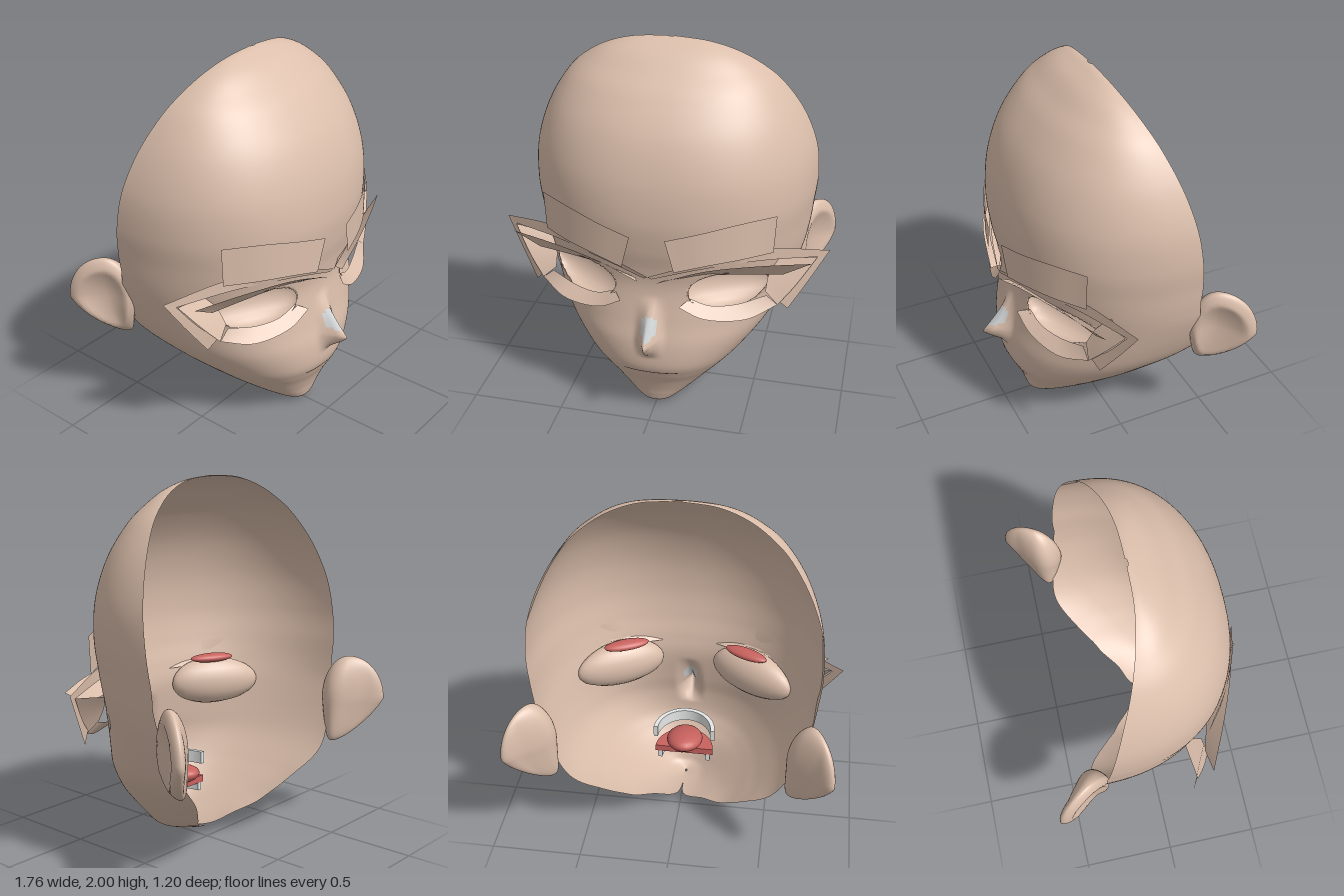
import * as THREE from 'three';

const mat = (name, color) => {
  const m = new THREE.MeshStandardMaterial({ color, side: THREE.DoubleSide });
  m.name = name;
  return m;
};
const V = (p) => new THREE.Vector3(...p);

// Grid of points -> indexed surface; pick(mid) chooses the material group of a cell
function gridGeometry(rows, cols, pointAt, pick = () => 0) {
  const pos = [], groups = [[], []];
  for (let i = 0; i <= rows; i++)
    for (let j = 0; j <= cols; j++) pos.push(...pointAt(i / rows, j / cols));
  for (let i = 0; i < rows; i++)
    for (let j = 0; j < cols; j++) {
      const a = i * (cols + 1) + j, c = a + cols + 1;
      const mid = [0, 1, 2].map((k) => (pos[a * 3 + k] + pos[(c + 1) * 3 + k]) / 2);
      groups[pick(mid)].push(a, c, a + 1, a + 1, c, c + 1);
    }
  const g = new THREE.BufferGeometry();
  g.setAttribute('position', new THREE.Float32BufferAttribute(pos, 3));
  g.setIndex([...groups[0], ...groups[1]]);
  g.addGroup(0, groups[0].length, 0);
  if (groups[1].length) g.addGroup(groups[0].length, groups[1].length, 1);
  g.computeVertexNormals();
  return g;
}

// Horizontal sections of the face, crown to chin:
// height, half width, front z, z of widest point, rim angle, depth behind widest point
const SECTIONS = [
  [2, 0.02, -0.03, -0.04, 90, 0], [1.985, 0.19, 0.01, -0.045, 90, 0],
  [1.94, 0.335, 0.095, -0.067, 90, 0], [1.87, 0.455, 0.175, -0.1, 90, 0],
  [1.77, 0.565, 0.275, -0.143, 90, 0], [1.6, 0.675, 0.387, -0.204, 90, 0],
  [1.4, 0.747, 0.455, -0.256, 90, 0], [1.2, 0.765, 0.475, -0.29, 90, 0],
  [1.03, 0.75, 0.46, -0.308, 90, 0], [0.9, 0.735, 0.435, -0.312, 90, 0.1],
  [0.78, 0.71, 0.425, -0.32, 92, 0.3], [0.6, 0.645, 0.45, -0.27, 98, 0.6],
  [0.47, 0.575, 0.475, -0.2, 106, 0.63], [0.34, 0.465, 0.475, -0.1, 115, 0.48],
  [0.26, 0.385, 0.445, -0.03, 117, 0.46], [0.19, 0.31, 0.408, 0.02, 121, 0.38],
  [0.12, 0.225, 0.38, 0.1, 140, 0.23], [0.07, 0.155, 0.365, 0.18, 172, 0.18],
  [0.03, 0.09, 0.348, 0.24, 180, 0.1], [0, 0.005, 0.3, 0.29, 180, 0.01],
];

function section(t) {
  const n = SECTIONS.length - 1, f = Math.min(t * n, n - 1e-6), i = Math.floor(f), u = f - i;
  const at = (k) => SECTIONS[Math.max(0, Math.min(n, k))];
  return SECTIONS[0].map((_, k) => {
    const p0 = at(i - 1)[k], p1 = at(i)[k], p2 = at(i + 1)[k], p3 = at(i + 2)[k];
    return p1 + 0.5 * u * (p2 - p0 + u * (2 * p0 - 5 * p1 + 4 * p2 - p3 + u * (3 * (p1 - p2) + p3 - p0)));
  });
}

// Height of the nose ridge above the face
const NOSE = [[0.74, 0], [0.63, 0.06], [0.57, 0.1], [0.515, 0.14], [0.48, 0.1], [0.43, 0.03], [0.4, 0]];
function noseRidge(y) {
  for (let i = 0; i < NOSE.length - 1; i++) {
    const [y0, h0] = NOSE[i], [y1, h1] = NOSE[i + 1];
    if (y <= y0 && y > y1) return h0 + ((h1 - h0) * (y0 - y)) / (y0 - y1);
  }
  return 0;
}

// Rolls the disc inside the eye opening into a rounded pocket wider than its mouth
const EYE = { x: 0.385, y: 0.785, rx: 0.19, ry: 0.112, swell: 1.2, depth: 0.1 };
function eyePocket([x, y, z]) {
  const side = Math.sign(x), lx = (Math.abs(x) - EYE.x) / EYE.rx, ly = (y - EYE.y) / EYE.ry;
  let r = Math.hypot(lx, ly);
  if (r > 1.05 || r < 1e-6) return r > 1 ? [x, y, z] : [x, y, z - 0.15];
  const r0 = r;
  if (r > 0.95) r = 1;
  const start = Math.asin(1 / EYE.swell), phi = start + (Math.PI - start) * (1 - r);
  const k = (EYE.swell * Math.sin(phi)) / r0, nx = EYE.x + lx * k * EYE.rx;
  const d = EYE.depth * (Math.cos(start) - Math.cos(phi));
  return [side * (nx - 0.2 * d), EYE.y + ly * k * EYE.ry, z - d - 0.5 * (nx - Math.abs(x))];
}

function facePoint(t, s) {
  const [y, w, zf, zc, rim, back] = section(t);
  const a = ((s * 2 - 1) * rim * Math.PI) / 180, c = Math.cos(a), sn = Math.sin(a);
  // behind the widest point
  if (c <= 0) return [w * sn, y, zc + c * back];
  // squarish front half
  const x = w * Math.sign(sn) * Math.abs(sn) ** 0.86;
  const z = zc + c ** 0.86 * (zf - zc) + noseRidge(y) * Math.max(0, 1 - Math.abs(x) / 0.085) ** 1.7;
  return eyePocket([x, y, z]);
}

// Smooth strip between two edges
function strip(edgeA, edgeB, side) {
  const flip = (p) => V([p[0] * side, p[1], p[2]]);
  const a = new THREE.CatmullRomCurve3(edgeA.map(flip)), b = new THREE.CatmullRomCurve3(edgeB.map(flip));
  return gridGeometry(1, 20, (u, v) => a.getPoint(v).lerp(b.getPoint(v), u).toArray());
}

function earGeometry(side) {
  const g = new THREE.SphereGeometry(1, 40, 32), p = g.attributes.position;
  for (let i = 0; i < p.count; i++) {
    let u = p.getX(i), v = p.getY(i), n = p.getZ(i);
    const r = Math.hypot(u, v), low = Math.max(0, -v);
    // hollow inside the rim on the outer face, thick root on the inner face
    if (n > 0) n = 0.055 * (n - 1.1 * Math.max(0, 1 - (r / 0.75) ** 2));
    else n *= 0.055 + 0.07 * Math.max(0, 0.5 - u);
    u = u * (u < 0 ? 0.15 : 0.2) * (1 - 0.4 * low) - 0.04 * low;
    p.setXYZ(i, side * (0.75 + u * 0.52 + n * 0.85 - 0.085 * low * low), 0.73 + v * 0.24, -0.42 - u * 0.85 + n * 0.52);
  }
  if (side < 0) {
    const ix = g.index;
    for (let i = 0; i < ix.count; i += 3) {
      const k = ix.getX(i);
      ix.setX(i, ix.getX(i + 1));
      ix.setX(i + 1, k);
    }
  }
  g.computeVertexNormals();
  return g;
}

// Horseshoe band for teeth and gums
function archGeometry(rx, rz, y0, y1, thick) {
  const s = new THREE.Shape();
  s.absellipse(0, 0, rx, rz, 0, Math.PI, false);
  s.absellipse(0, 0, rx - thick, rz - thick, Math.PI, 0, true);
  const g = new THREE.ExtrudeGeometry(s, { depth: y1 - y0, bevelEnabled: false, curveSegments: 24 });
  g.rotateX(Math.PI / 2); // shape y -> z, depth -> down
  g.translate(0, y1, 0.18);
  return g;
}

export function createModel() {
  const model = new THREE.Group();
  const skin = mat('skin', 0xdcbfac), white = mat('teeth white', 0xe6e8e8);
  const red = mat('mouth red', 0xc8625e), shine = mat('nose highlight', 0xd3d6d7);
  const dark = mat('mouth line', 0x4a322a);
  const add = (name, geo, material) => {
    const m = new THREE.Mesh(geo, material);
    m.name = name;
    model.add(m);
    return m;
  };

  // Open-backed face shell with a pale patch on the nose bridge
  const onNose = ([x, y, z]) => (z > 0.3 && Math.hypot(x / 0.048, (y - 0.6) / 0.055) < 1 ? 1 : 0);
  add('face', gridGeometry(190, 170, facePoint, onNose), [skin, shine]);

  for (const side of [1, -1]) {
    const label = side > 0 ? 'left' : 'right';
    add(label + 'Ear', earGeometry(side), skin);
    add(label + 'Brow', strip(
      [[0.09, 1.125, 0.505], [0.26, 1.165, 0.465], [0.44, 1.198, 0.385], [0.615, 1.205, 0.265]],
      [[0.135, 0.945, 0.495], [0.29, 0.98, 0.455], [0.45, 0.995, 0.38], [0.605, 0.995, 0.265]], side), skin);
    add(label + 'UpperLash', strip(
      [[0.05, 0.885, 0.52], [0.28, 0.955, 0.47], [0.54, 0.965, 0.37], [0.8, 0.945, 0.25]],
      [[0.07, 0.87, 0.46], [0.27, 0.875, 0.37], [0.5, 0.867, 0.29], [0.66, 0.86, 0.24]], side), skin);
    add(label + 'UpperLid', strip(
      [[0, 0.905, 0.5], [0.27, 0.99, 0.44], [0.57, 1.015, 0.27], [0.88, 0.965, 0.12]],
      [[0.02, 0.89, 0.49], [0.28, 0.945, 0.42], [0.55, 0.95, 0.28], [0.82, 0.935, 0.15]], side), skin);
    add(label + 'LashWing', strip(
      [[0.88, 0.965, 0.12], [0.79, 0.81, 0.17], [0.69, 0.65, 0.23]],
      [[0.82, 0.935, 0.15], [0.72, 0.79, 0.21], [0.64, 0.71, 0.26]], side), skin);
    add(label + 'LowerLid', strip(
      [[0.155, 0.72, 0.46], [0.28, 0.655, 0.44], [0.49, 0.64, 0.37], [0.64, 0.69, 0.27]],
      [[0.2, 0.745, 0.4], [0.3, 0.705, 0.38], [0.43, 0.7, 0.33], [0.58, 0.74, 0.27]], side), skin);
    add(label + 'OuterLid', strip(
      [[0.64, 0.69, 0.27], [0.72, 0.79, 0.23], [0.82, 0.935, 0.16]],
      [[0.57, 0.75, 0.25], [0.58, 0.83, 0.2], [0.63, 0.91, 0.14]], side), skin);
    // red tissue behind the top of each eye pocket
    const pad = add(label + 'EyePad', new THREE.SphereGeometry(1, 24, 16), red);
    pad.scale.set(0.13, 0.026, 0.045);
    pad.position.set(side * 0.34, 0.93, 0.26);
    pad.rotation.y = side * 0.45;
  }

  // Mouth line lying on the face, and the parts behind it
  add('mouthLine', gridGeometry(1, 40, (u, v) => {
    const [x, y, z] = facePoint((13.5 + (u - 0.5) * 0.08) / 19, 0.5 + (v - 0.5) * 0.146);
    return [x, y, z + 0.003];
  }), dark);
  add('upperTeeth', archGeometry(0.18, 0.2, 0.345, 0.415, 0.025), white);
  add('lowerTeeth', archGeometry(0.155, 0.17, 0.19, 0.235, 0.025), white);
  add('lowerGum', archGeometry(0.17, 0.18, 0.235, 0.275, 0.165), red);
  const tongue = add('tongue', new THREE.SphereGeometry(1, 24, 16), red);
  tongue.scale.set(0.105, 0.055, 0.14);
  tongue.position.set(0, 0.315, 0.22);
  tongue.rotation.x = 0.2;
  return model;
}
